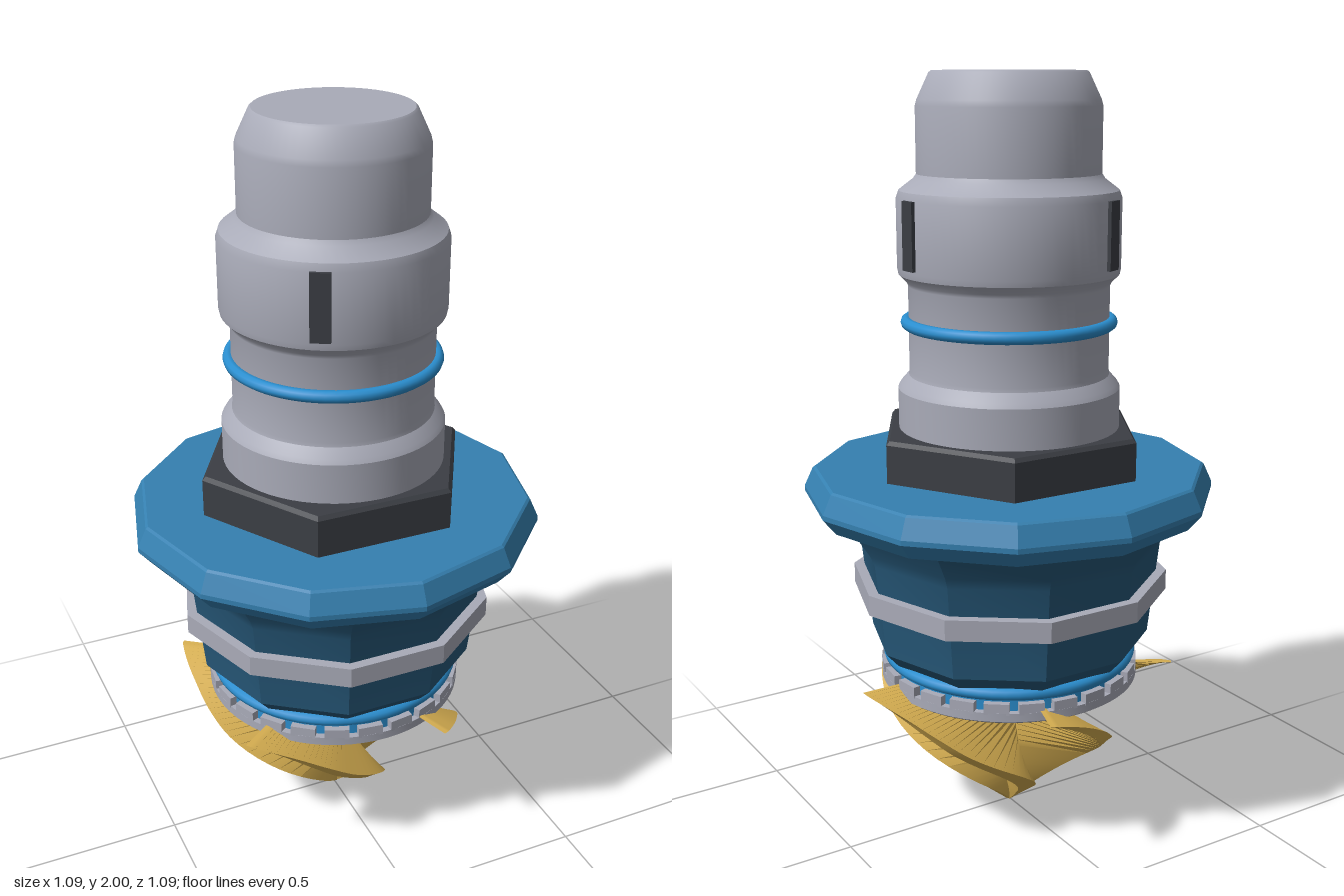
import * as THREE from 'three';
import { toCreasedNormals } from 'three/addons/utils/BufferGeometryUtils.js';

const mat = (name, color) => {
  const m = new THREE.MeshStandardMaterial({ color });
  m.name = name;
  return m;
};

export function createModel() {
  const steel = mat('steel grey', 0xa9abb8);
  const dark = mat('charcoal', 0x3b3e44);
  const blue = mat('flange blue', 0x3580b0);
  const deepBlue = mat('deep blue', 0x27597a);
  const brightBlue = mat('bright blue', 0x2b8fd0);
  const gold = mat('gold', 0xd8b052);

  const model = new THREE.Group();
  model.name = 'drillTool';

  const add = (name, geometry, material, parent = model) => {
    const mesh = new THREE.Mesh(geometry, material);
    mesh.name = name;
    parent.add(mesh);
    return mesh;
  };

  // Solid of revolution from [radius, height] pairs, bottom to top
  const turned = (name, profile, sides, material, turn = 0, crease = 0.3) => {
    const pts = profile.map(([r, y]) => new THREE.Vector2(r, y));
    const g = new THREE.LatheGeometry(pts, sides);
    g.rotateY(turn);
    return add(name, toCreasedNormals(g, crease), material);
  };

  const hoop = (name, radius, tube, y) => {
    const g = new THREE.TorusGeometry(radius, tube, 10, 64);
    g.rotateX(Math.PI / 2);
    add(name, g, brightBlue).position.y = y;
  };

  // Stepped shank
  turned('shank', [
    [0, 1.08], [0.29, 1.08], [0.29, 1.205], [0.283, 1.217], [0.262, 1.24], [0.26, 1.25],
    [0.26, 1.47], [0.264, 1.48], [0.284, 1.5], [0.287, 1.515], [0.287, 1.69], [0.28, 1.71],
    [0.243, 1.738], [0.235, 1.75], [0.235, 1.915], [0.231, 1.93], [0.2, 1.995], [0.194, 2], [0, 2],
  ], 64, steel, 0, 0.5);
  hoop('shankSeal', 0.265, 0.016, 1.375);

  // Three keys set into the upper collar
  for (let i = 0; i < 3; i++) {
    const pivot = new THREE.Group();
    pivot.name = 'collarKeyPivot';
    pivot.rotation.y = (i * Math.PI * 2) / 3;
    add('collarKey', new THREE.BoxGeometry(0.03, 0.17, 0.05), dark, pivot).position.set(0.28, 1.607, 0);
    model.add(pivot);
  }

  // Hexagonal nut
  turned('hexNut', [[0, 0.98], [0.365, 0.98], [0.365, 1.09], [0.355, 1.1], [0, 1.1]], 6, dark, Math.PI / 2);

  // Twelve-sided flange
  turned('flange', [
    [0, 0.88], [0.51, 0.88], [0.545, 0.922], [0.545, 0.935], [0.522, 0.985], [0.515, 0.99], [0, 0.99],
  ], 12, blue);

  // Ten-sided body and its band
  turned('body', [
    [0, 0.46], [0.31, 0.46], [0.345, 0.487], [0.378, 0.524], [0.406, 0.775], [0.418, 0.804],
    [0.46, 0.868], [0.46, 0.89], [0, 0.89],
  ], 10, deepBlue, Math.PI / 2);
  turned('bodyBand', [
    [0.37, 0.645], [0.425, 0.645], [0.425, 0.7], [0.37, 0.7],
  ], 10, steel, Math.PI / 2);

  // Lower seal and notched ring
  hoop('lowerSeal', 0.328, 0.017, 0.473);
  turned('notchCore', [[0, 0.42], [0.332, 0.42], [0.332, 0.465], [0, 0.465]], 48, brightBlue);
  turned('cutterDisc', [[0, 0.398], [0.34, 0.398], [0.35, 0.405], [0.35, 0.428], [0, 0.428]], 64, steel);
  const teeth = 24;
  for (let i = 0; i < teeth; i++) {
    const a = ((i + 0.5) / teeth) * Math.PI * 2;
    const tooth = add('ringTooth', new THREE.BoxGeometry(0.066, 0.03, 0.03), steel);
    tooth.position.set(Math.sin(a) * 0.334, 0.438, Math.cos(a) * 0.334);
    tooth.rotation.y = a;
  }

  // Five twisted cutting blades
  const blade = bladeGeometry();
  for (let i = 0; i < 5; i++) {
    add('cutterBlade', blade, gold).rotation.y = (i * Math.PI * 2) / 5;
  }
  return model;
}

// One blade: a thin radial section lofted upward while it twists and widens
function bladeGeometry() {
  // height, reach, twist in degrees, half thickness
  const stations = [
    [0, 0.006, -102, 0.006], [0.05, 0.065, -91, 0.02], [0.1, 0.13, -80, 0.026],
    [0.2, 0.25, -58, 0.028], [0.285, 0.332, -37, 0.026], [0.34, 0.367, -25, 0.023],
    [0.38, 0.392, -15, 0.02], [0.41, 0.42, -7, 0.014], [0.432, 0.447, 0, 0.006],
  ];
  const curve = (k) => new THREE.CatmullRomCurve3(
    stations.map((s) => new THREE.Vector3(s[0], s[1], k ? s[2] / 100 : s[3])));
  const shape = curve(0), twist = curve(1);
  const steps = 40, pos = [], idx = [];
  for (let i = 0; i <= steps; i++) {
    const s = shape.getPoint(i / steps);
    const a = THREE.MathUtils.degToRad(twist.getPoint(i / steps).z * 100);
    for (const [u, v] of [[0, -1], [1, -1], [1, 1], [0, 1]]) {
      const r = u * s.y, t = v * s.z;
      pos.push(r * Math.cos(a) - t * Math.sin(a), Math.max(0, s.x), r * Math.sin(a) + t * Math.cos(a));
    }
  }
  for (let i = 0; i < steps; i++) {
    for (let k = 0; k < 4; k++) {
      const a = i * 4 + k, b = i * 4 + ((k + 1) % 4);
      idx.push(a, b + 4, b, a, a + 4, b + 4);
    }
  }
  const n = steps * 4;
  idx.push(n, n + 3, n + 2, n, n + 2, n + 1, 0, 1, 2, 0, 2, 3);
  const g = new THREE.BufferGeometry();
  g.setAttribute('position', new THREE.Float32BufferAttribute(pos, 3));
  g.setIndex(idx);
  return toCreasedNormals(g, 0.7);
}
